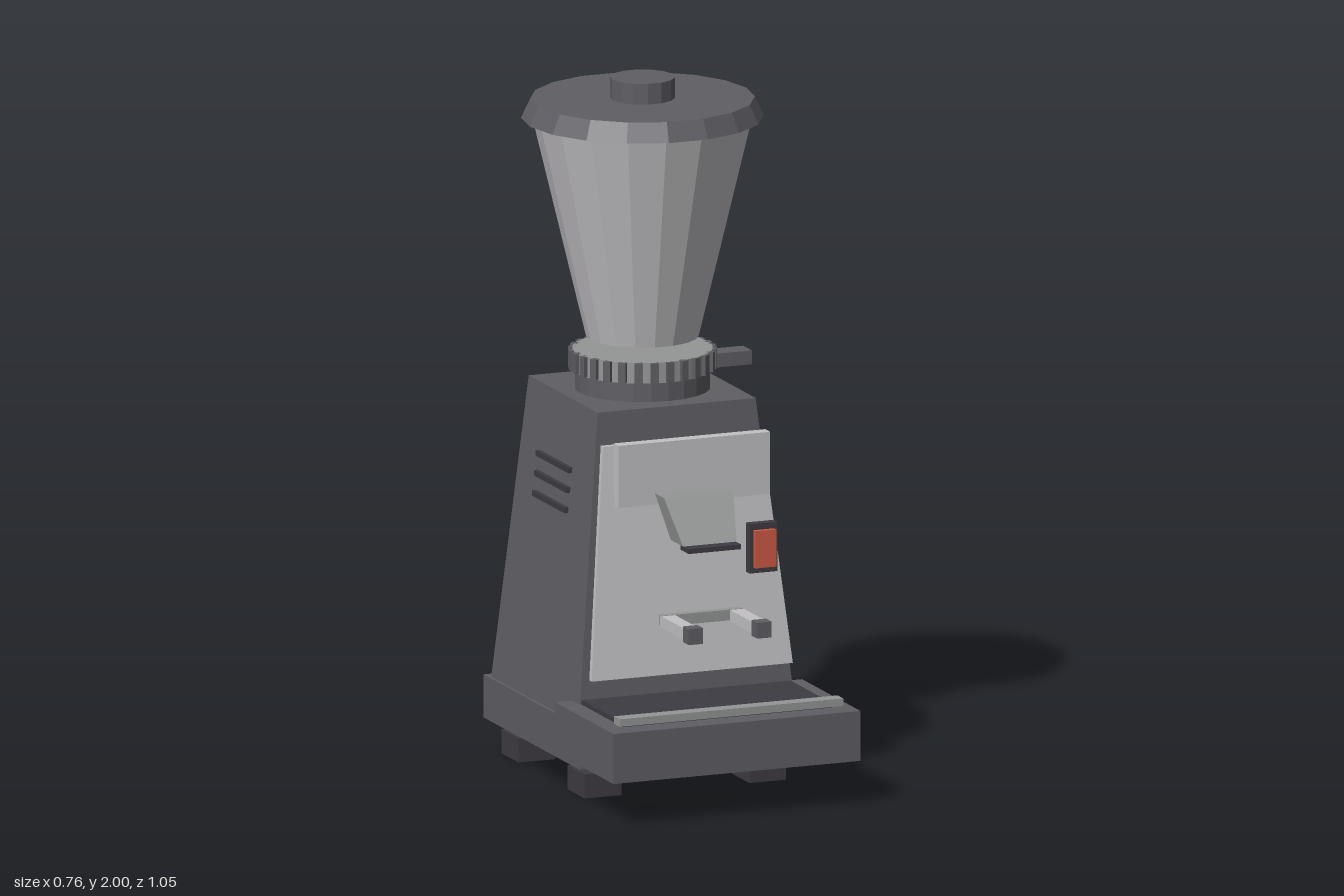
import * as THREE from 'three';

const mat = (name, color) => {
  const m = new THREE.MeshStandardMaterial({ color });
  m.name = name;
  return m;
};

export function createModel() {
  const housing = mat('housing grey', 0x5f5e64);
  const dark = mat('dark rubber', 0x3e3c43);
  const steel = mat('brushed steel', 0xc3c1c4);
  const midGrey = mat('mid grey', 0x959797);
  const red = mat('switch red', 0xd05a45);

  const model = new THREE.Group();
  model.name = 'coffeeGrinder';

  const add = (name, geometry, material) => {
    const flat = geometry.index ? geometry.toNonIndexed() : geometry;
    flat.computeVertexNormals();
    const mesh = new THREE.Mesh(flat, material);
    mesh.name = name;
    model.add(mesh);
    return mesh;
  };

  // box given by its limits on each axis
  const box = (name, material, x0, x1, y0, y1, z0, z1) => {
    const g = new THREE.BoxGeometry(x1 - x0, y1 - y0, z1 - z0);
    g.translate((x0 + x1) / 2, (y0 + y1) / 2, (z0 + z1) / 2);
    return add(name, g, material);
  };

  // box whose bottom and top have their own half width and z limits
  const taperedBox = (name, material, y0, y1, bottom, top) => {
    const g = new THREE.BoxGeometry(2, 1, 1);
    const p = g.attributes.position;
    for (let i = 0; i < p.count; i++) {
      const up = p.getY(i) > 0;
      const [w, back, front] = up ? top : bottom;
      p.setXYZ(i, p.getX(i) * w, up ? y1 : y0, p.getZ(i) > 0 ? front : back);
    }
    return add(name, g, material);
  };

  // upright faceted drum on the grinding axis
  const axisZ = -0.172;
  const drum = (name, material, y0, y1, r0, r1, sides) => {
    const g = new THREE.CylinderGeometry(r1, r0, y1 - y0, sides, 1, false, Math.PI / 2);
    g.translate(0, (y0 + y1) / 2, axisZ);
    return add(name, g, material);
  };

  // feet and base
  for (const x of [-0.252, 0.252])
    for (const z of [0.08, -0.407])
      box('foot', dark, x - 0.056, x + 0.056, 0, 0.07, z - 0.064, z + 0.064);
  box('base', housing, -0.34, 0.34, 0.095, 0.22, -0.525, 0.185);

  // body
  taperedBox('body', housing, 0.22, 1.1, [0.331, -0.49, 0.155], [0.242, -0.428, 0.08]);

  // catch tray with its grate and front rail
  box('tray', housing, -0.378, 0.378, 0.13, 0.275, 0.095, 0.525);
  box('trayGrate', dark, -0.32, 0.32, 0.275, 0.288, 0.13, 0.455);
  box('trayRail', midGrey, -0.342, 0.342, 0.284, 0.306, 0.443, 0.485);

  // front panel and upper plate
  taperedBox('frontPanel', steel, 0.35, 1.01, [0.308, 0.178, 0.195], [0.243, 0.105, 0.122]);
  box('upperPlate', steel, -0.215, 0.25, 0.84, 1.02, 0.132, 0.168);

  // spout
  taperedBox('spout', midGrey, 0.75, 0.875, [0.082, 0.235, 0.325], [0.106, 0.175, 0.243]);
  box('spoutLip', dark, -0.08, 0.08, 0.736, 0.75, 0.3, 0.362);

  // power switch
  box('switchFrame', dark, 0.16, 0.245, 0.63, 0.773, 0.205, 0.232);
  box('switchRocker', red, 0.172, 0.236, 0.647, 0.755, 0.23, 0.247);

  // portafilter fork
  for (const s of [-1, 1]) {
    const x = s * 0.105;
    box('forkArm', steel, x - 0.021, x + 0.021, 0.507, 0.54, 0.26, 0.437);
    box('forkTip', housing, x - 0.022, x + 0.022, 0.5, 0.546, 0.434, 0.475);
  }
  box('forkCrossbar', midGrey, -0.125, 0.125, 0.51, 0.541, 0.25, 0.272);

  // collar and ridged adjusting ring
  drum('collar', housing, 1.1, 1.16, 0.193, 0.193, 24);
  drum('adjustingRing', midGrey, 1.155, 1.215, 0.2, 0.2, 24);
  const ridges = 28;
  for (let i = 0; i < ridges; i++) {
    const a = (i / ridges) * Math.PI * 2;
    const g = new THREE.BoxGeometry(0.022, 0.058, 0.02);
    g.translate(0, 1.186, 0.2);
    g.rotateY(a);
    g.translate(0, 0, axisZ);
    add('ringRidge', g, housing);
  }
  box('adjustingLever', housing, 0.18, 0.303, 1.155, 1.195, -0.16, -0.095);

  // hopper, lid and knob
  drum('hopper', steel, 1.25, 1.885, 0.16, 0.312, 18);
  drum('lid', housing, 1.885, 1.94, 0.344, 0.318, 18);
  drum('lidKnob', housing, 1.94, 2, 0.092, 0.092, 14);

  // side vents
  for (const y of [0.79, 0.848, 0.905]) {
    const x = -0.242 - (1.1 - y) * 0.101;
    box('sideVent', dark, x - 0.012, x + 0.008, y - 0.008, y + 0.008, -0.3, -0.06);
  }

  // rear power inlet
  box('inletFrame', dark, -0.06, 0.06, 0.245, 0.338, -0.515, -0.485);
  box('inletSocket', midGrey, -0.036, 0.036, 0.265, 0.318, -0.521, -0.51);

  return model;
}
